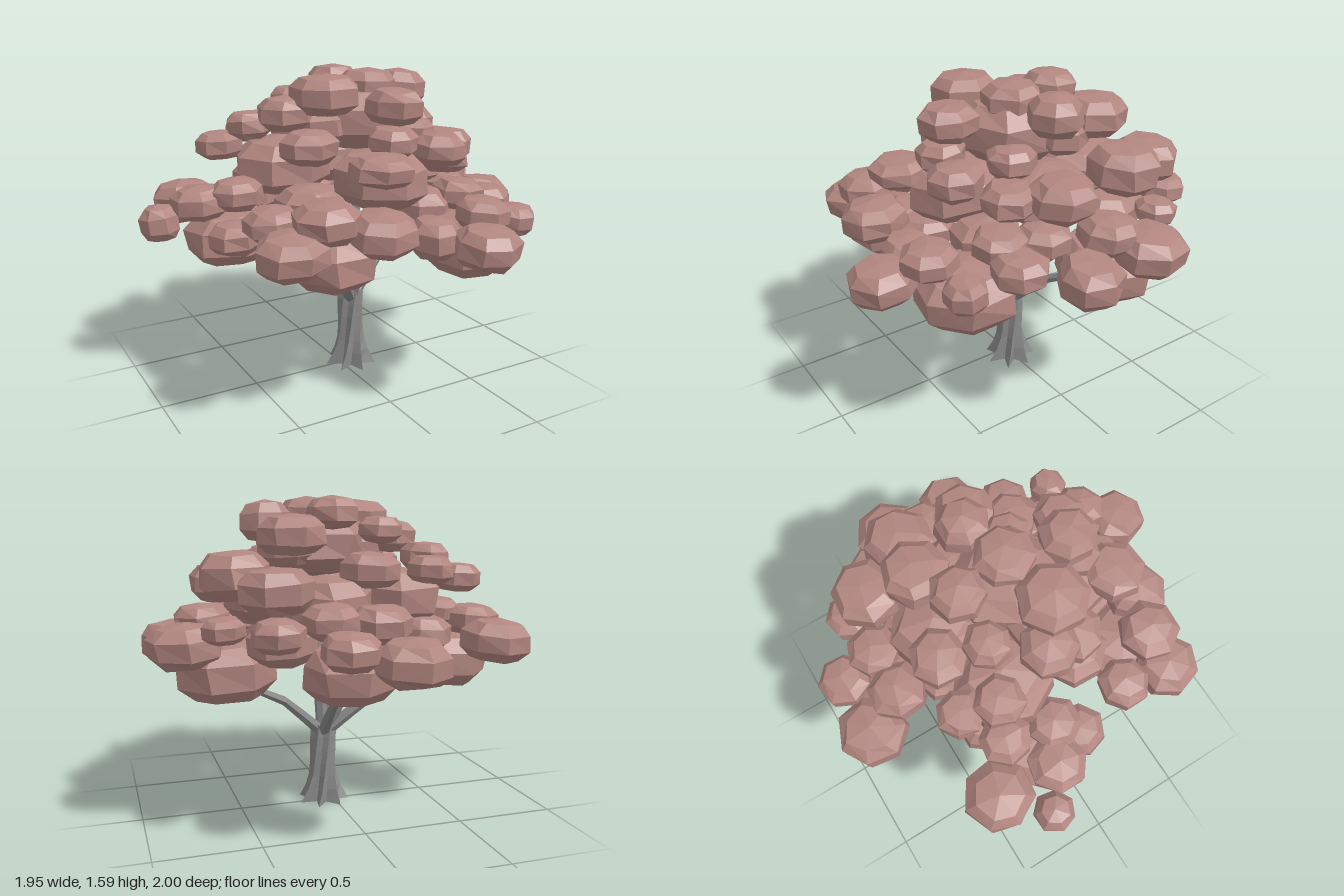
import * as THREE from 'three';

const leafMat = new THREE.MeshStandardMaterial({ color: 0xb28680, flatShading: true });
const barkMat = new THREE.MeshStandardMaterial({ color: 0x8a8a8a, flatShading: true });

// Repeatable value in -1..1 from a point, so shared corners move together
function hash(x, y, z, seed) {
  const s = Math.sin(Math.round(x * 50) * 12.99 + Math.round(y * 50) * 78.23 + Math.round(z * 50) * 37.72 + seed * 9.17) * 4375.85;
  return (s - Math.floor(s)) * 2 - 1;
}

// Flattened, slightly irregular seven-sided leaf clump with a full belt
function clump(name, [x, y, z, r, h = r * 0.62], seed) {
  const geo = new THREE.SphereGeometry(1, 7, 5);
  const p = geo.attributes.position;
  for (let i = 0; i < p.count; i++) {
    const a = p.getX(i), b = p.getY(i), c = p.getZ(i);
    const full = 1.04 * Math.pow(Math.max(Math.hypot(a, c), 0.01), -0.25);
    p.setXYZ(i,
      (a * full + hash(a, b, c, seed) * 0.05) * r,
      (Math.sign(b) * Math.pow(Math.abs(b), 0.8) + hash(a, b, c, seed + 31) * 0.05) * h,
      (c * full + hash(a, b, c, seed + 67) * 0.05) * r);
  }
  geo.rotateY(seed * 2.4);
  geo.rotateX(z * 0.1);
  geo.rotateZ(-x * 0.1);
  const mesh = new THREE.Mesh(geo, leafMat);
  mesh.position.set(x, y, z);
  mesh.name = name;
  return mesh;
}

// Tapered six-sided branch along a bent path
function branch(points, r0, r1) {
  const curve = new THREE.CatmullRomCurve3(points.map(q => new THREE.Vector3(...q)), false, 'catmullrom', 0.1);
  const steps = 4, sides = 6;
  const geo = new THREE.TubeGeometry(curve, steps, 1, sides, false);
  const p = geo.attributes.position, v = new THREE.Vector3();
  for (let i = 0; i < p.count; i++) {
    const t = Math.floor(i / (sides + 1)) / steps;
    const c = curve.getPointAt(t);
    v.fromBufferAttribute(p, i).sub(c).multiplyScalar(r0 + (r1 - r0) * t).add(c);
    p.setXYZ(i, v.x, v.y, v.z);
  }
  const mesh = new THREE.Mesh(geo, barkMat);
  mesh.name = 'branch';
  return mesh;
}

// Ridged, twisting trunk that flares into pointed roots
function trunk() {
  const geo = new THREE.CylinderGeometry(1, 1, 0.42, 14, 6);
  geo.translate(0, 0.21, 0);
  const p = geo.attributes.position;
  for (let i = 0; i < p.count; i++) {
    const x = p.getX(i), y = p.getY(i), z = p.getZ(i);
    const k = Math.hypot(x, z);
    const a = Math.atan2(x, z);
    const flare = Math.pow(Math.max(0, 1 - y / 0.2), 2);
    const ridge = Math.cos(a * 7);
    const r = k * (0.06 + 0.036 * flare + ridge * (0.009 + 0.03 * flare));
    const turn = a + y * 1.8;
    p.setXYZ(i, Math.sin(turn) * r, y, Math.cos(turn) * r);
  }
  const mesh = new THREE.Mesh(geo, barkMat);
  mesh.name = 'trunk';
  mesh.position.set(0.055, 0, 0.01);
  return mesh;
}

// Each row: x, y, z, radius, optional half height
const layers = {
  lowerCore: [
    [-0.54, 0.77, -0.17, 0.23], [-0.32, 0.8, 0.48, 0.22], [0.42, 0.77, 0.51, 0.24],
    [0.59, 0.77, -0.16, 0.24], [0.12, 0.81, -0.61, 0.21],
  ],
  upperCore: [
    [-0.25, 1.1, -0.18, 0.24], [0.03, 1.1, 0.33, 0.23], [0.33, 1.1, 0.02, 0.23],
    [0.14, 1.09, -0.33, 0.22], [0.08, 1.35, 0.03, 0.25],
  ],
  innerLeaves: [
    [-0.28, 0.97, 0.2, 0.17], [0.27, 0.92, 0.3, 0.17], [-0.34, 0.93, -0.33, 0.15],
    [0.36, 0.92, -0.36, 0.17], [0, 0.9, -0.38, 0.15], [-0.02, 0.88, 0.45, 0.14],
    [0.47, 0.98, 0.36, 0.13], [0.52, 0.97, 0.16, 0.13],
    [-0.14, 1.33, 0.06, 0.15], [0.28, 1.34, -0.12, 0.14],
  ],
  lowerLeaves: [
    [-0.68, 0.9, -0.47, 0.17], [-0.87, 0.85, -0.28, 0.1, 0.095], [-0.7, 0.96, -0.16, 0.14],
    [-0.54, 1.0, -0.08, 0.13], [-0.6, 0.82, 0.04, 0.13],
    [-0.54, 0.95, 0.33, 0.13], [-0.39, 1.0, 0.57, 0.15], [-0.56, 0.88, 0.58, 0.16], [-0.16, 0.94, 0.66, 0.16],
    [0.13, 0.87, 0.64, 0.12, 0.1], [0.27, 0.86, 0.845, 0.155], [0.38, 0.96, 0.67, 0.13], [0.61, 0.89, 0.63, 0.1, 0.08],
    [0.64, 0.93, 0.37, 0.13], [0.81, 0.88, 0.12, 0.15, 0.11], [0.79, 0.91, -0.24, 0.18, 0.11],
    [0.69, 1.0, -0.08, 0.14], [0.64, 1.0, -0.42, 0.1],
    [-0.09, 0.89, -0.825, 0.17], [0.19, 0.95, -0.82, 0.13], [-0.02, 1.03, -0.63, 0.14],
    [0.21, 1.05, -0.63, 0.13], [0.45, 1.0, -0.64, 0.12],
  ],
  middleLeaves: [
    [0.27, 1.24, 0.46, 0.13], [-0.09, 1.19, 0.54, 0.15, 0.07], [0.05, 1.28, 0.4, 0.12],
    [-0.52, 1.2, -0.34, 0.12], [-0.33, 1.25, -0.45, 0.11], [0.56, 1.23, -0.27, 0.17, 0.12], [0.43, 1.18, -0.53, 0.17],
    [0.43, 1.16, 0.28, 0.13], [0.56, 1.17, 0.09, 0.16], [-0.27, 1.25, 0.18, 0.14],
    [-0.05, 1.25, -0.4, 0.14], [-0.38, 1.3, -0.28, 0.12], [0.3, 1.28, 0.18, 0.12],
  ],
  topLeaves: [
    [-0.16, 1.48, 0.13, 0.17, 0.1], [0.12, 1.5, 0.05, 0.15, 0.09], [0.36, 1.47, -0.02, 0.13, 0.1],
    [0.3, 1.41, -0.31, 0.16], [0.07, 1.51, -0.21, 0.13], [-0.17, 1.43, -0.21, 0.11],
    [0.08, 1.44, 0.37, 0.14], [-0.31, 1.39, 0.02, 0.14],
  ],
};

// Limb ends with bend height: four spread low, three rise steeply
const limbs = [
  [-0.54, 0.7, -0.17, 0.57], [-0.32, 0.73, 0.48, 0.57], [0.59, 0.7, -0.16, 0.57], [0.12, 0.74, -0.61, 0.57],
  [-0.25, 1.04, -0.18, 0.66], [0.03, 1.04, 0.33, 0.66], [0.1, 1.28, 0.02, 0.66],
];

export function createModel() {
  const tree = new THREE.Group();
  tree.name = 'tree';
  tree.add(trunk());

  const branches = new THREE.Group();
  branches.name = 'branches';
  const cx = 0.055, cz = 0.01;
  for (const [x, y, z, bend] of limbs) {
    const dx = x - cx, dz = z - cz;
    branches.add(branch([
      [cx + dx * 0.03, 0.38, cz + dz * 0.03], [cx + dx * 0.42, bend, cz + dz * 0.42], [cx + dx * 0.9, y, cz + dz * 0.9],
    ], 0.034, 0.014));
  }
  tree.add(branches);

  // Leaf layers from bottom to top
  let seed = 1;
  for (const [name, rows] of Object.entries(layers)) {
    const layer = new THREE.Group();
    layer.name = name;
    for (const row of rows) layer.add(clump(name + 'Clump', row, seed++));
    tree.add(layer);
  }
  return tree;
}
